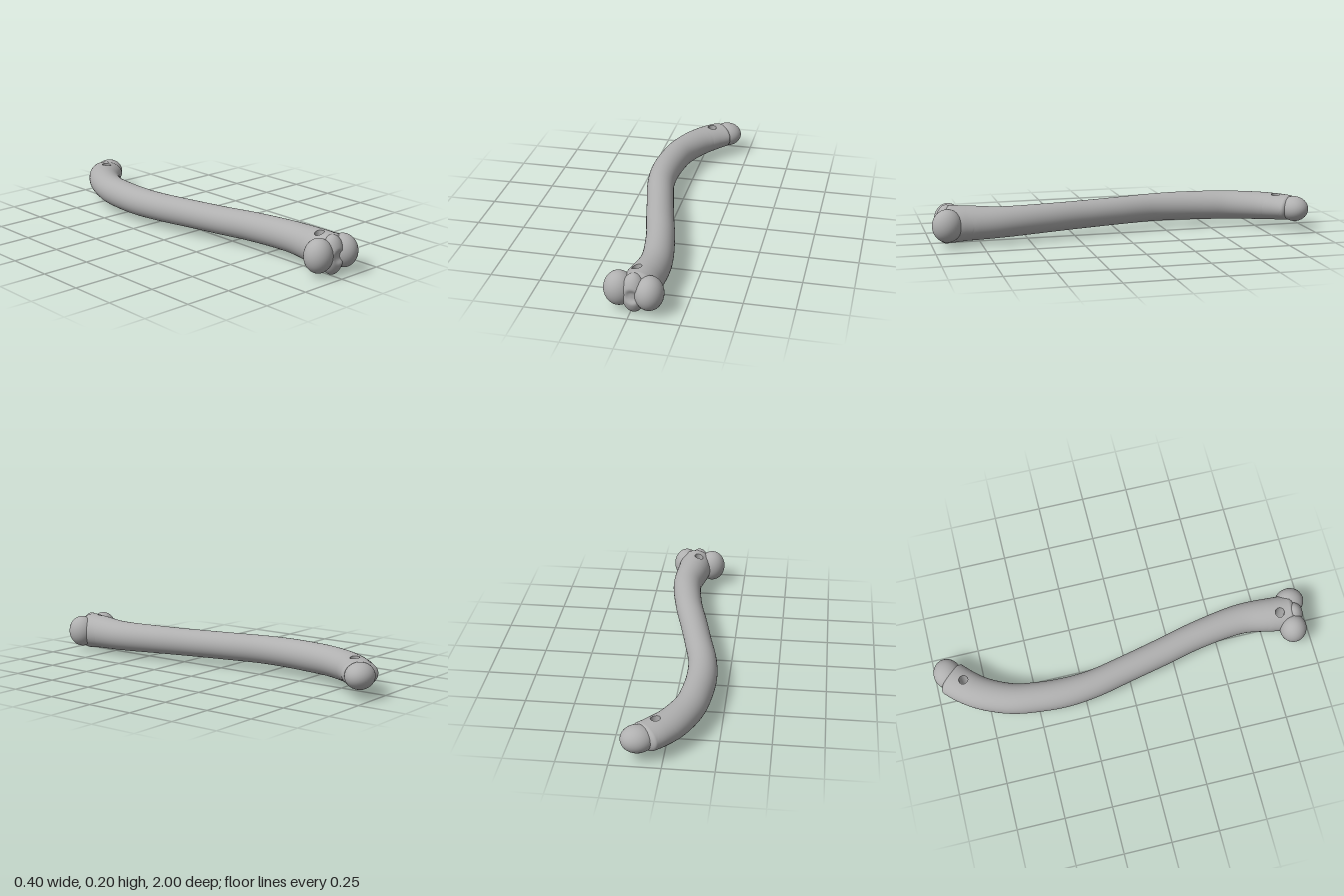
import * as THREE from 'three';
import { mergeGeometries, mergeVertices } from 'three/addons/utils/BufferGeometryUtils.js';

// Centre line [x, z, half width, half height, centre y], front to back
const STATIONS = [
  [0.03, 0.9, 0.092, 0.096, 0.103], [0.038, 0.82, 0.09, 0.09, 0.105],
  [0.055, 0.65, 0.079, 0.08, 0.105], [0.021, 0.4, 0.073, 0.075, 0.107],
  [-0.026, 0.2, 0.072, 0.073, 0.106], [-0.071, 0, 0.071, 0.073, 0.106],
  [-0.113, -0.2, 0.073, 0.074, 0.106], [-0.124, -0.35, 0.077, 0.076, 0.105],
  [-0.114, -0.5, 0.078, 0.077, 0.104], [-0.09, -0.63, 0.08, 0.076, 0.104],
  [-0.025, -0.775, 0.085, 0.074, 0.105], [0.04, -0.86, 0.089, 0.07, 0.107],
  [0.085, -0.905, 0.09, 0.066, 0.108],
];
const path = new THREE.CatmullRomCurve3(STATIONS.map((s) => new THREE.Vector3(s[0], 0, s[1])));
const sizes = new THREE.CatmullRomCurve3(STATIONS.map((s) => new THREE.Vector3(s[2], s[3], s[4])), false, 'catmullrom');
const HALF = 24; // segments over half a ring
const HOLE_RADIUS = 0.024;

// Point on the shaft: w along it (0..1), angle around it, optional end-cap scale and offset
function shaftPoint(w, angle, scale = 1, offset = 0) {
  const u = Math.min(1, Math.max(0, w));
  const c = path.getPointAt(u);
  const t = path.getTangentAt(u);
  const s = sizes.getPoint(path.getUtoTmapping(u));
  const side = s.x * Math.sin(angle) * scale;
  return new THREE.Vector3(
    c.x - t.z * side + t.x * offset,
    s.z + s.y * Math.cos(angle) * scale,
    c.z + t.x * side + t.z * offset);
}

// Surface from a rows x cols rule
function grid(rows, cols, rule) {
  const pos = [], index = [];
  for (let i = 0; i <= rows; i++) {
    for (let j = 0; j <= cols; j++) pos.push(...rule(i / rows, j / cols).toArray());
  }
  for (let i = 0; i < rows; i++) {
    for (let j = 0; j < cols; j++) {
      const a = i * (cols + 1) + j, b = a + cols + 1;
      index.push(a, a + 1, b, a + 1, b + 1, b);
    }
  }
  const g = new THREE.BufferGeometry();
  g.setAttribute('position', new THREE.Float32BufferAttribute(pos, 3));
  g.setIndex(index);
  return g;
}

const loft = (w0, w1, rows) => grid(rows, HALF * 2, (i, j) =>
  shaftPoint(w0 + (w1 - w0) * i, j * Math.PI * 2));

// Domed end; dir is -1 at the front and 1 at the back
const cap = (w, dir, depth) => grid(8, HALF * 2, (i, j) => {
  const a = (dir > 0 ? i : 1 - i) * Math.PI / 2;
  return shaftPoint(w, j * Math.PI * 2, Math.cos(a), dir * depth * Math.sin(a));
});

// Locate a hole on the shaft and describe the patch around it
function makeHole(x, z, w0, w1) {
  const target = new THREE.Vector3(x, 0, z);
  let w = 0, best = Infinity;
  for (let k = 0; k <= 2000; k++) {
    const d = path.getPointAt(k / 2000).distanceTo(target);
    if (d < best) { best = d; w = k / 2000; }
  }
  const c = path.getPointAt(w), t = path.getTangentAt(w);
  const across = -(x - c.x) * t.z + (z - c.z) * t.x;
  const width = sizes.getPoint(path.getUtoTmapping(w)).x;
  const length = path.getLength();
  // Rim and square border in (angle, w); v runs once around
  const border = (v) => {
    const k = (v % 1) * 4, edge = Math.floor(k), f = (k - edge) * 2 - 1;
    return [[1, f], [-f, 1], [-1, -f], [f, -1]][edge];
  };
  const rim = (v) => {
    const [p, q] = border(v), a = Math.atan2(q, p);
    return [Math.asin((across + HOLE_RADIUS * Math.cos(a)) / width), w + HOLE_RADIUS * Math.sin(a) / length];
  };
  const point = (s, v, top) => {
    const [p, q] = border(v), [ra, rw] = rim(v);
    const angle = ra + (p * Math.PI / 2 - ra) * s;
    const along = rw + ((w0 + w1) / 2 + q * (w1 - w0) / 2 - rw) * s;
    return shaftPoint(along, top ? angle : Math.PI - angle);
  };
  return {
    patches: [
      grid(14, HALF * 4, (i, j) => point(i, 1 - j, true)),
      grid(14, HALF * 4, (i, j) => point(i, j, false)),
    ],
    wall: grid(1, HALF * 4, (i, j) => point(0, j, i === 0)),
  };
}

export function createModel() {
  const model = new THREE.Group();
  model.name = 'bone';
  const bone = new THREE.MeshStandardMaterial({ color: 0xb0b0b0 });
  bone.name = 'bone grey';
  const add = (name, geometry) => {
    const mesh = new THREE.Mesh(geometry, bone);
    mesh.name = name;
    model.add(mesh);
    return mesh;
  };

  // Curved shaft with a drilled patch near each end
  const FRONT = 0.065, BACK = 0.935;
  const frontHole = makeHole(0.01, 0.84, 0, FRONT);
  const backHole = makeHole(0.045, -0.85, BACK, 1);
  const shaft = mergeVertices(mergeGeometries([
    cap(0, -1, 0.04), ...frontHole.patches, loft(FRONT, BACK, 70),
    ...backHole.patches, cap(1, 1, 0.03),
  ]), 1e-5);
  shaft.computeVertexNormals();
  add('shaft', shaft);

  // Hole walls
  [['frontHoleWall', frontHole], ['backHoleWall', backHole]].forEach(([name, hole]) => {
    hole.wall.computeVertexNormals();
    add(name, hole.wall);
  });

  // Rounded knobs: name, centre, radii, turn about y
  const knobs = [
    ['frontRightKnob', [-0.062, 0.107, 0.903], [0.073, 0.086, 0.07], 0],
    ['frontLeftKnob', [0.088, 0.106, 0.923], [0.07, 0.084, 0.077], 0],
    ['backHead', [0.12, 0.108, -0.926], [0.082, 0.066, 0.073], 0.2],
  ];
  for (const [name, centre, radii, turn] of knobs) {
    const knob = add(name, new THREE.SphereGeometry(1, 40, 28));
    knob.position.set(...centre);
    knob.scale.set(...radii);
    knob.rotation.y = turn;
  }

  // Bridge between the front knobs, dented in the middle of its face
  const bridge = new THREE.SphereGeometry(1, 56, 40);
  bridge.scale(0.06, 0.1, 0.055);
  const p = bridge.attributes.position;
  for (let i = 0; i < p.count; i++) {
    if (p.getZ(i) <= 0) continue;
    const d = (p.getX(i) ** 2 + p.getY(i) ** 2) / 0.03 ** 2;
    p.setZ(i, p.getZ(i) - 0.016 * Math.exp(-d * d));
  }
  bridge.computeVertexNormals();
  add('frontBridge', bridge).position.set(0.014, 0.1, 0.92);

  return model;
}
